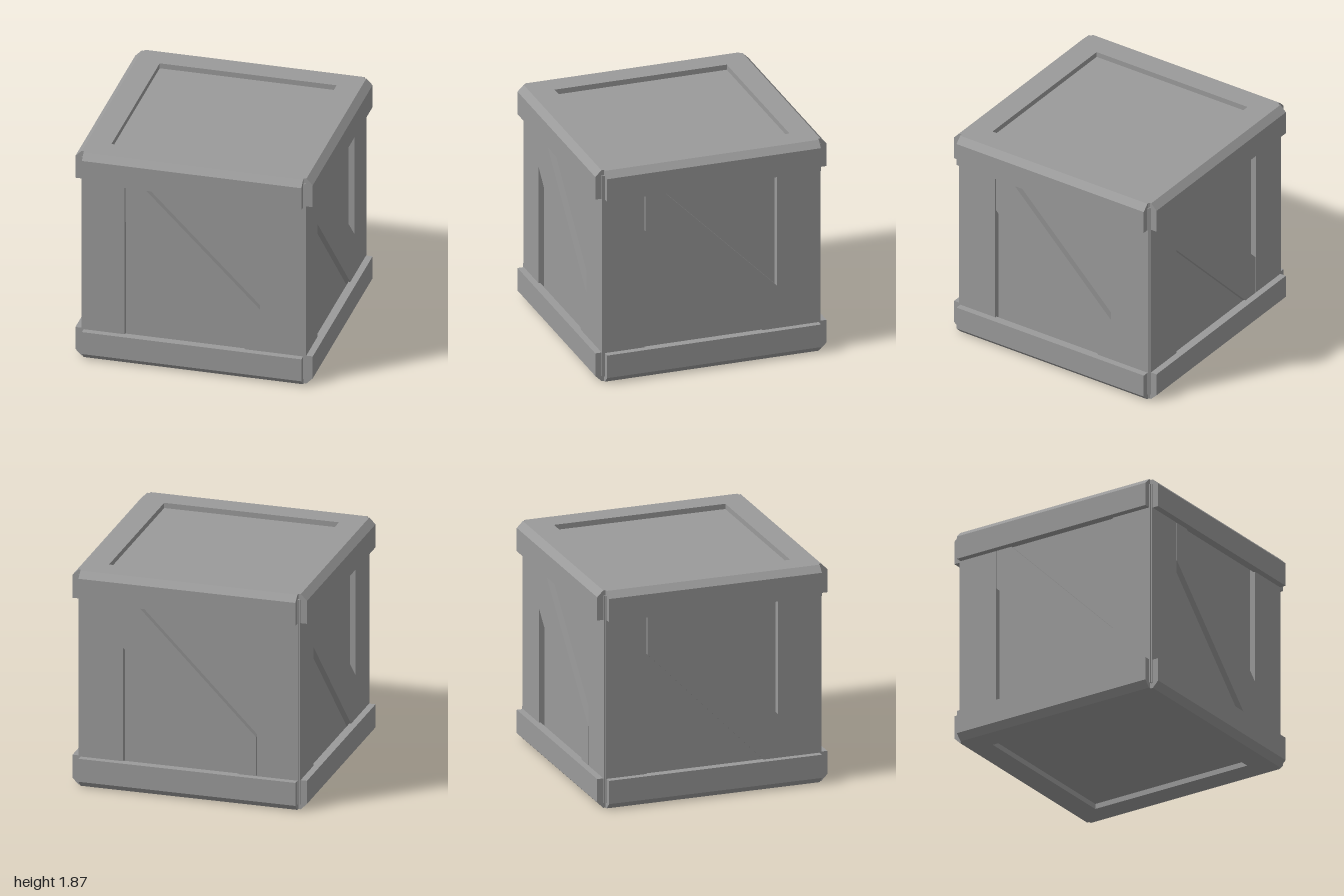
import * as THREE from 'three';

const MID = 0.935;    // half of the crate's height
const CORE = 0.895;   // sunken panel distance from the centre
const BOARD = 0.945;  // outer face of the side boards

const material = new THREE.MeshStandardMaterial({ color: 0x9a9a9a });

function extrude(points, depth) {
  const shape = new THREE.Shape(points.map(([x, y]) => new THREE.Vector2(x, y)));
  return new THREE.ExtrudeGeometry(shape, { depth, bevelEnabled: false });
}

function add(parent, name, geometry) {
  const mesh = new THREE.Mesh(geometry, material);
  mesh.name = name;
  parent.add(mesh);
  return mesh;
}

function upright(x0, x1) {
  const h = MID - 0.045;
  return [[x0, -h], [x1, -h], [x1, h], [x0, h]];
}

// Two uprights and a diagonal brace, with a sliver of a gap beside the brace
function createBoards() {
  const boards = new THREE.Group();
  boards.name = 'sideBoards';
  const brace = [[-0.572, 0.345], [0.563, -0.81], [0.563, -0.305], [-0.572, 0.827]];
  const parts = { leftUpright: upright(-0.935, -0.58), rightUpright: upright(0.563, 0.935), diagonalBrace: brace };
  for (const [name, outline] of Object.entries(parts)) {
    add(boards, name, extrude(outline, BOARD - CORE)).position.z = CORE;
  }
  return boards;
}

// Chamfered rail, running along x at the top of the front side
function createRailGeometry() {
  const length = 1.85;
  const profile = [[0.93, 0.682], [1, 0.682], [1, MID - 0.053], [0.947, MID], [0.93, MID]];
  return extrude(profile, length).rotateY(-Math.PI / 2).translate(length / 2, 0, 0);
}

// Square frame around the sunken lid panel
function createFrameGeometry() {
  const square = (s) => [[-s, -s], [s, -s], [s, s], [-s, s]].map(([x, y]) => new THREE.Vector2(x, y));
  const shape = new THREE.Shape(square(0.93));
  shape.holes.push(new THREE.Path(square(0.745).reverse()));
  return new THREE.ExtrudeGeometry(shape, { depth: 0.045, bevelEnabled: false })
    .rotateX(-Math.PI / 2).translate(0, MID - 0.045, 0);
}

export function createModel() {
  const model = new THREE.Group();
  model.name = 'crate';
  const body = new THREE.Group();
  body.name = 'crateBody';
  body.position.y = MID;
  model.add(body);

  // Inner box shows as the sunken panels
  add(body, 'innerBox', new THREE.BoxGeometry(2 * CORE, 2 * (MID - 0.045), 2 * CORE));

  // Four sides; the back boards are turned end for end
  const rail = createRailGeometry();
  ['front', 'left', 'back', 'right'].forEach((label, i) => {
    const side = new THREE.Group();
    side.name = label + 'Side';
    side.rotation.y = i * Math.PI / 2;
    const boards = createBoards();
    if (label === 'back') boards.rotation.z = Math.PI;
    side.add(boards);
    add(side, 'topRail', rail);
    add(side, 'bottomRail', rail).rotation.z = Math.PI;
    body.add(side);
  });

  // Lid and base frames
  const frame = createFrameGeometry();
  add(body, 'lidFrame', frame);
  add(body, 'baseFrame', frame).rotation.z = Math.PI;

  return model;
}
